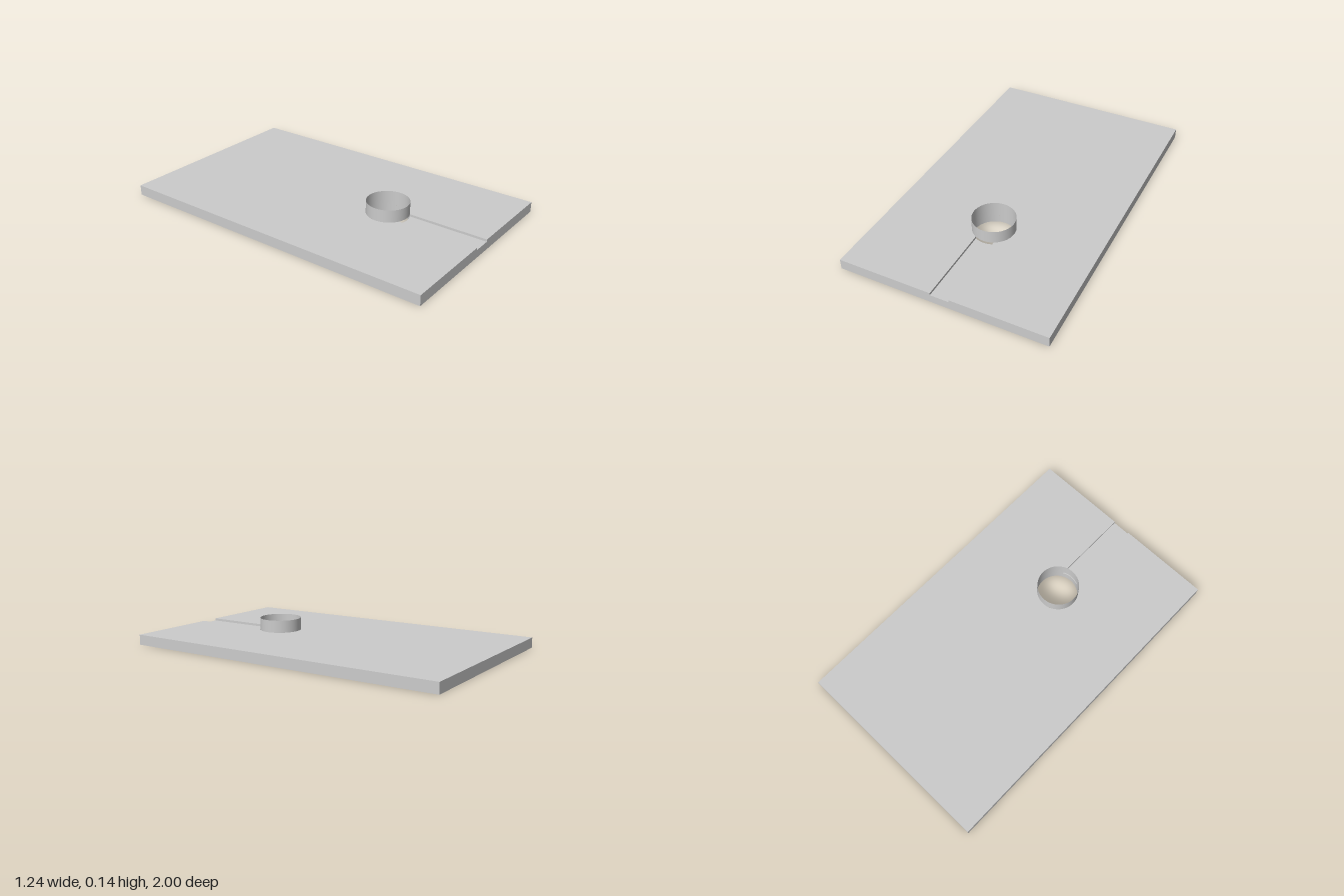
import * as THREE from 'three';

const W = 0.618, L = 1;                    // half width and half length of the slab
const FLOOR = 0.048, TOP = 0.062, RIM = 0.137; // groove floor, slab top, ring top
const R = 0.126, CZ = 0.403;               // hole radius and centre
const G = 0.056;                           // half width of the groove
const A = Math.asin(G / R);                // half angle where the groove meets the hole
const GZ = CZ + Math.sqrt(R * R - G * G);  // z where the groove meets the hole
const SEG = 64;

const grey = new THREE.MeshStandardMaterial({ color: 0xcccccc });
const greyDouble = new THREE.MeshStandardMaterial({ color: 0xcccccc, side: THREE.DoubleSide });

// Upright flat walls along a path of [x, -z] points, facing right of travel
function wallGeometry(path, y0, y1) {
  const pos = [];
  for (let i = 0; i < path.length - 1; i++) {
    const [ax, as] = path[i], [bx, bs] = path[i + 1];
    pos.push(ax, y0, -as, bx, y0, -bs, bx, y1, -bs);
    pos.push(ax, y0, -as, bx, y1, -bs, ax, y1, -as);
  }
  const geo = new THREE.BufferGeometry();
  geo.setAttribute('position', new THREE.Float32BufferAttribute(pos, 3));
  geo.computeVertexNormals();
  return geo;
}

// Flat face drawn in [x, -z], laid facing up at height y
function topGeometry(shape, y) {
  return new THREE.ShapeGeometry(shape, SEG).rotateX(-Math.PI / 2).translate(0, y, 0);
}

// Open round wall around the hole
function tubeGeometry(y0, y1, gap = 0) {
  return new THREE.CylinderGeometry(R, R, y1 - y0, SEG, 1, true, gap, Math.PI * 2 - 2 * gap)
    .translate(0, (y0 + y1) / 2, CZ);
}

const toShape = (pts) => new THREE.Shape(pts.map(([x, s]) => new THREE.Vector2(x, s)));

export function createModel() {
  const model = new THREE.Group();
  const add = (parent, name, geometry, material = grey) => {
    const mesh = new THREE.Mesh(geometry, material);
    mesh.name = name;
    parent.add(mesh);
  };

  const slab = new THREE.Group();
  slab.name = 'slab';
  model.add(slab);

  // Outlines: full rectangle, and the upper rim that folds into the groove
  const rect = [[-W, -L], [W, -L], [W, L], [-W, L], [-W, -L]];
  const upper = [[G, -GZ], [G, -L], [W, -L], [W, L], [-W, L], [-W, -L], [-G, -L], [-G, -GZ]];

  // Underside with the round hole
  const bottom = toShape(rect.slice(0, 4));
  bottom.holes.push(new THREE.Path().absarc(0, CZ, R, 0, Math.PI * 2, true));
  add(slab, 'underside', new THREE.ShapeGeometry(bottom, SEG).rotateX(Math.PI / 2));

  // Top face, cut by groove and hole
  const top = toShape(upper);
  top.absarc(0, -CZ, R, -Math.PI / 2 - A, -Math.PI / 2 + A, true);
  add(slab, 'topFace', topGeometry(top, TOP));

  // Groove floor, ending on the edge of the hole
  const floor = toShape([[-G, -L], [G, -L], [G, -GZ]]);
  floor.absarc(0, -CZ, R, -Math.PI / 2 + A, -Math.PI / 2 - A, true);
  add(slab, 'grooveFloor', topGeometry(floor, FLOOR));

  // Slab edges and groove sides
  add(slab, 'lowerEdges', wallGeometry(rect, 0, FLOOR));
  add(slab, 'upperEdgesAndGrooveSides', wallGeometry(upper, FLOOR, TOP));

  // Hole wall, open where the groove runs in
  add(slab, 'lowerHoleWall', tubeGeometry(0, FLOOR), greyDouble);
  add(slab, 'upperHoleWall', tubeGeometry(FLOOR, TOP, A), greyDouble);

  // Thin raised collar around the hole
  add(model, 'collar', tubeGeometry(TOP, RIM), greyDouble);

  return model;
}
